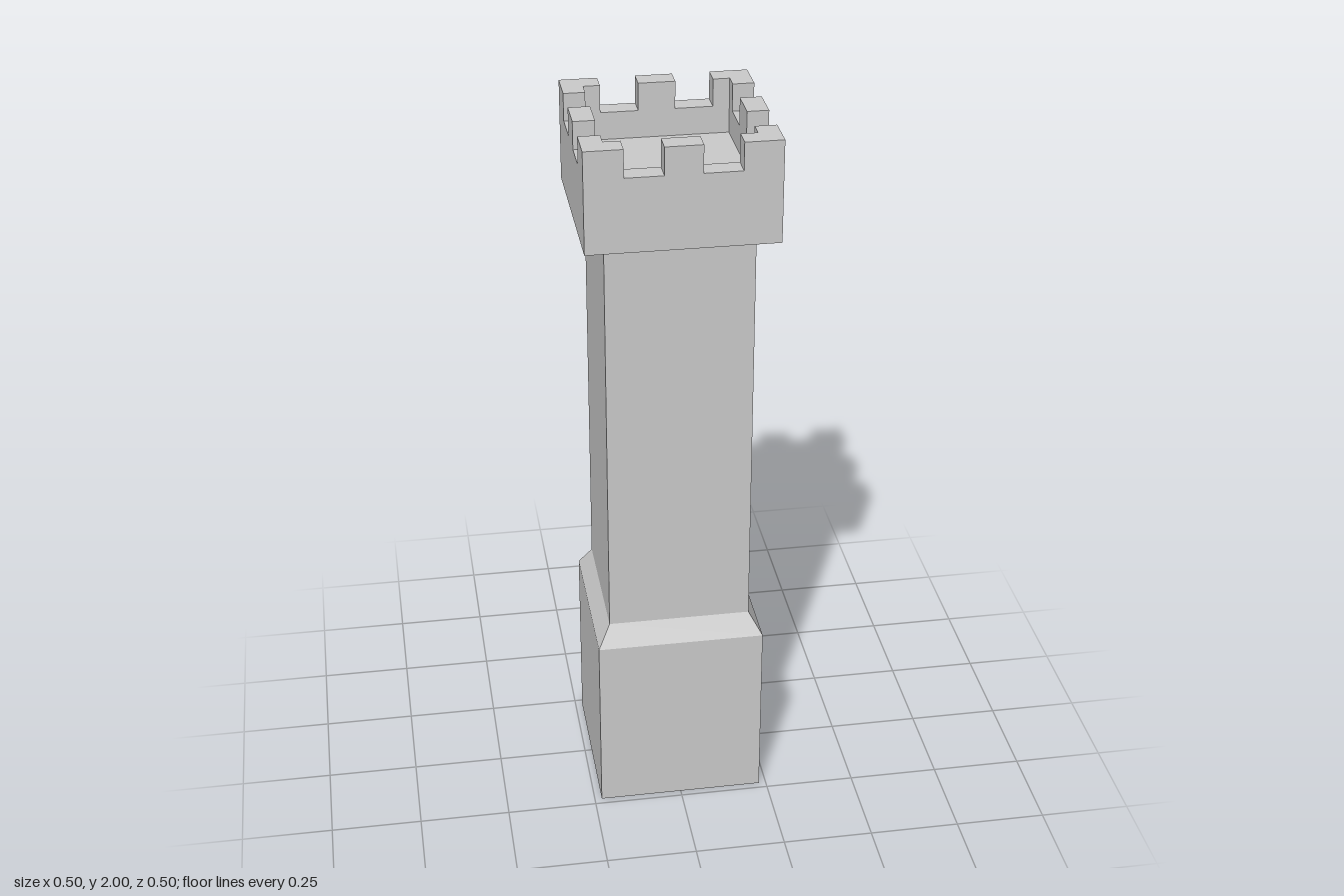
import * as THREE from 'three';

const OUT = 0.25, IN = 0.193;            // parapet half widths, outer and inner
const SILL = 1.925, TOP = 2;             // notch floor and merlon top
const material = new THREE.MeshStandardMaterial({ color: 0xcccccc, flatShading: true, side: THREE.DoubleSide });

// Square ring surface from a [halfWidth, height] profile
function squareLathe(name, profile) {
  const points = profile.map(([h, y]) => new THREE.Vector2(h * Math.SQRT2, y));
  const geometry = new THREE.LatheGeometry(points, 4, Math.PI / 4).toNonIndexed();
  geometry.computeVertexNormals();
  const mesh = new THREE.Mesh(geometry, material);
  mesh.name = name;
  return mesh;
}

export function createModel() {
  const group = new THREE.Group();
  group.name = 'tower';

  // Hollow plinth, sloped shoulder and shaft, open underneath
  group.add(squareLathe('plinth', [[0.23, 0], [0.23, 0.52], [0.195, 0.58]]));
  group.add(squareLathe('shaft', [[0.195, 0.58], [0.195, 1.725]]));

  // Overhanging parapet with a sunken roof deck
  group.add(squareLathe('parapet', [[0.195, 1.725], [OUT, 1.725], [OUT, SILL], [IN, SILL], [IN, 1.85]]));
  const deck = new THREE.Mesh(new THREE.PlaneGeometry(2 * IN, 2 * IN).rotateX(-Math.PI / 2), material);
  deck.position.y = 1.85;
  deck.name = 'roofDeck';
  group.add(deck);

  // Merlons: an L at each corner and a block in the middle of each side
  const cornerShape = new THREE.Shape([
    [OUT, OUT], [0.149, OUT], [0.149, IN], [IN, IN], [IN, 0.149], [OUT, 0.149],
  ].map(([x, y]) => new THREE.Vector2(x, y)));
  const cornerGeometry = new THREE.ExtrudeGeometry(cornerShape, { depth: TOP - SILL, bevelEnabled: false });
  cornerGeometry.rotateX(-Math.PI / 2).translate(0, SILL, 0);
  const middleGeometry = new THREE.BoxGeometry(0.098, TOP - SILL, OUT - IN);
  middleGeometry.translate(0, (SILL + TOP) / 2, (OUT + IN) / 2);

  for (let i = 0; i < 4; i++) {
    const corner = new THREE.Mesh(cornerGeometry, material);
    corner.name = 'cornerMerlon';
    const middle = new THREE.Mesh(middleGeometry, material);
    middle.name = 'middleMerlon';
    corner.rotation.y = middle.rotation.y = i * Math.PI / 2;
    group.add(corner, middle);
  }
  return group;
}
